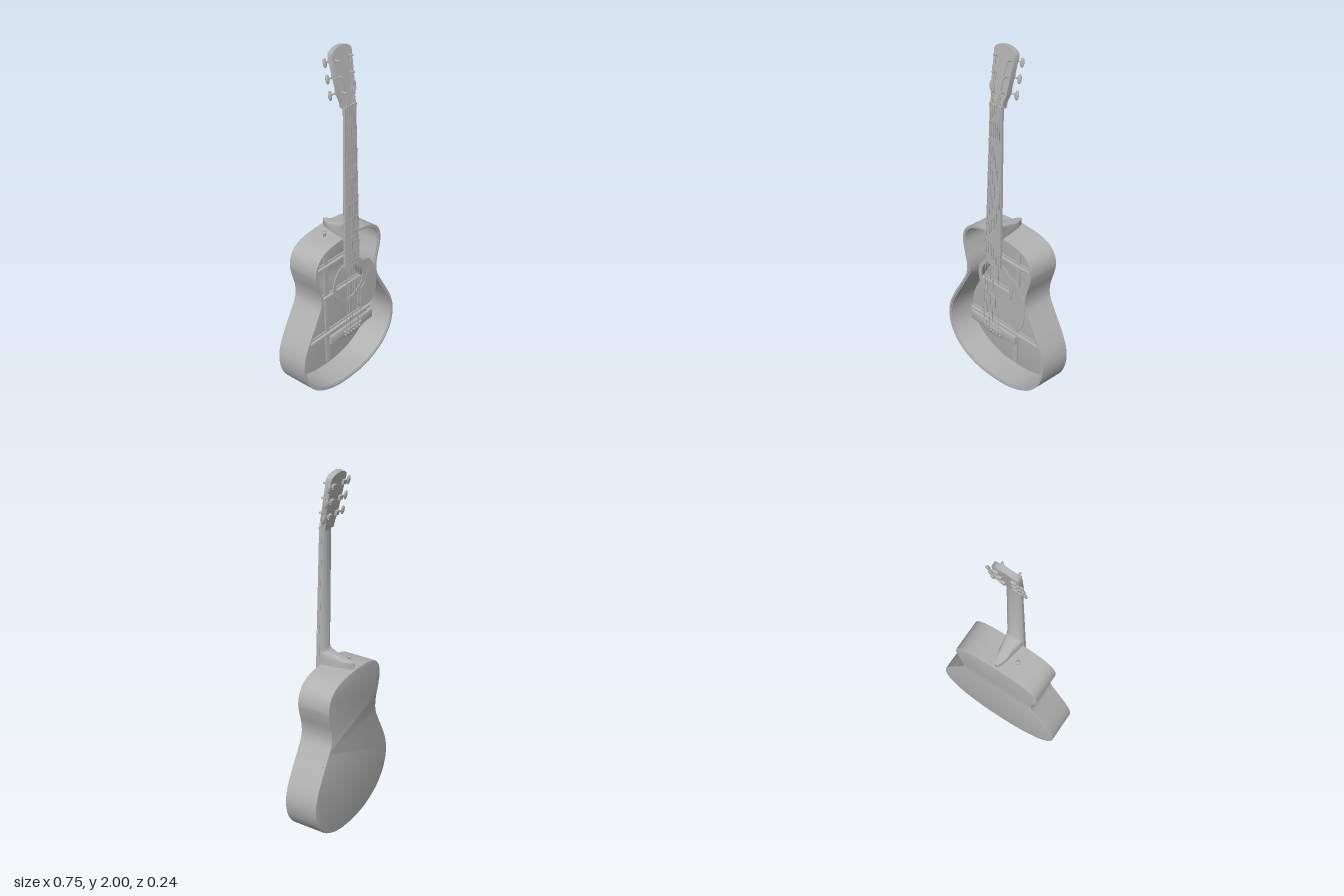
import * as THREE from 'three';
import { toCreasedNormals } from 'three/addons/utils/BufferGeometryUtils.js';

const grey = new THREE.MeshStandardMaterial({ color: 0xb2b2b2 });
grey.name = 'plain grey';
const V2 = (x, y) => new THREE.Vector2(x, y);
const V3 = (x, y, z) => new THREE.Vector3(x, y, z);

function add(parent, name, geo, x = 0, y = 0, z = 0) {
  const m = new THREE.Mesh(geo, grey);
  m.name = name;
  m.position.set(x, y, z);
  parent.add(m);
  return m;
}
const box = (p, name, w, h, d, x, y, z) => add(p, name, new THREE.BoxGeometry(w, h, d), x, y, z);

// straight round bar between two points
function rod(p, name, a, b, r, sides = 10) {
  const m = add(p, name, new THREE.CylinderGeometry(r, r, a.distanceTo(b), sides));
  m.position.copy(a).lerp(b, 0.5);
  m.quaternion.setFromUnitVectors(V3(0, 1, 0), b.clone().sub(a).normalize());
  return m;
}

// flat outline given depth from z0 to z1
function plate(p, name, pts, z0, z1, hole, bevel = 0) {
  const s = new THREE.Shape(pts);
  if (hole) s.holes.push(new THREE.Path(hole));
  const geo = new THREE.ExtrudeGeometry(s, {
    depth: z1 - z0 - 2 * bevel, bevelEnabled: bevel > 0, bevelSize: bevel,
    bevelThickness: bevel, bevelOffset: -bevel, bevelSegments: 2, curveSegments: 48,
  });
  return add(p, name, toCreasedNormals(geo, 0.6), 0, 0, z0 + bevel);
}

// mirrors a right-hand outline (bottom to top) to a closed one
function mirrored(half) {
  const left = half.filter(v => v.x > 0.0001).map(v => V2(-v.x, v.y)).reverse();
  return [...half, ...left];
}

// moves a counter-clockwise outline inward
function inset(pts, d) {
  const n = pts.length;
  return pts.map((v, i) => {
    const t = pts[(i + 1) % n].clone().sub(pts[(i + n - 1) % n]).normalize();
    return V2(v.x - t.y * d, v.y + t.x * d);
  });
}

// neck and heel: D-shaped sections [y, halfWidth, backZ, power] joined up the neck
function loftNeck(sections, frontZ) {
  const n = 16, pos = [], idx = [];
  for (const [y, w, back, pow] of sections) {
    for (let i = 0; i <= n; i++) {
      const t = Math.PI * i / n;
      pos.push(w * Math.cos(t), y, frontZ - (frontZ - back) * Math.pow(Math.max(0, Math.sin(t)), pow));
    }
  }
  const row = n + 1;
  for (let s = 0; s < sections.length - 1; s++) {
    for (let i = 0; i < row; i++) {
      const j = (i + 1) % row, a = s * row;
      idx.push(a + i, a + row + i, a + j, a + j, a + row + i, a + row + j);
    }
  }
  const top = (sections.length - 1) * row;
  for (let i = 1; i < n; i++) {
    idx.push(0, i, i + 1);
    idx.push(top, top + i + 1, top + i);
  }
  const g = new THREE.BufferGeometry();
  g.setAttribute('position', new THREE.Float32BufferAttribute(pos, 3));
  // sides run clockwise seen from above, so turn every face outward
  for (let i = 0; i < idx.length; i += 3) [idx[i + 1], idx[i + 2]] = [idx[i + 2], idx[i + 1]];
  for (let i = idx.length - 6 * (n - 1); i < idx.length; i += 3) [idx[i + 1], idx[i + 2]] = [idx[i + 2], idx[i + 1]];
  g.setIndex(idx);
  return toCreasedNormals(g.toNonIndexed(), 0.7);
}

function buildBody(g) {
  const half = new THREE.SplineCurve([
    V2(0, 0.027), V2(0.1, 0.034), V2(0.19, 0.058), V2(0.28, 0.107), V2(0.345, 0.185), V2(0.37, 0.275),
    V2(0.36, 0.36), V2(0.32, 0.45), V2(0.268, 0.54), V2(0.228, 0.62), V2(0.226, 0.69), V2(0.248, 0.77),
    V2(0.258, 0.83), V2(0.243, 0.89), V2(0.2, 0.932), V2(0.125, 0.955), V2(0, 0.965),
  ]).getPoints(90);
  half[0].x = half[half.length - 1].x = 0;
  const outline = mirrored(half);
  plate(g, 'bodySides', outline, -0.085, 0.095, inset(outline, 0.012));
  plate(g, 'bodyBack', outline, -0.09, -0.078, null, 0.004);
  plate(g, 'rimLining', inset(outline, 0.011), 0.078, 0.09, inset(outline, 0.017));

  // braces lying on the inside of the back
  for (const [y, w] of [[0.83, 0.49], [0.7, 0.44], [0.5, 0.57], [0.255, 0.71]]) {
    box(g, 'backBraceFoot', w, 0.034, 0.008, 0, y, -0.075);
    box(g, 'backBraceRidge', w, 0.014, 0.02, 0, y, -0.065);
  }
  box(g, 'centreStrip', 0.03, 0.88, 0.01, 0, 0.495, -0.074);

  // ring around the sound hole
  const circle = r => new THREE.EllipseCurve(0, 0.68, r, r).getPoints(64).slice(0, 64);
  plate(g, 'soundHoleRing', circle(0.13), 0.092, 0.097, circle(0.106));

  // teardrop plate beside the sound hole
  const guard = new THREE.SplineCurve([
    V2(0.105, 0.755), V2(0.135, 0.7), V2(0.138, 0.655), V2(0.115, 0.6), V2(0.068, 0.565), V2(0.063, 0.51),
    V2(0.09, 0.465), V2(0.145, 0.45), V2(0.2, 0.475), V2(0.22, 0.55), V2(0.208, 0.65), V2(0.165, 0.735), V2(0.105, 0.755),
  ]).getPoints(60).slice(0, 60);
  plate(g, 'pickguard', guard, 0.093, 0.097);

  // bridge with saddle
  const bridge = mirrored([V2(0, 0.336), V2(0.05, 0.338), V2(0.1, 0.354), V2(0.17, 0.358), V2(0.17, 0.41), V2(0, 0.41)]);
  plate(g, 'bridge', bridge, 0.095, 0.11, null, 0.002);
  box(g, 'saddle', 0.14, 0.008, 0.012, 0, 0.385, 0.114);

  // strap buttons
  const knob = new THREE.LatheGeometry([[0, 0], [0.008, 0], [0.006, 0.012], [0.012, 0.018], [0.012, 0.025], [0, 0.028]]
    .map(p => V2(...p)), 16);
  add(g, 'strapButtonTop', knob, -0.083, 0.957, 0);
  add(g, 'strapButtonBottom', knob, 0, 0.028, 0.005).rotation.x = Math.PI;
}

function buildNeck(g) {
  add(g, 'neckAndHeel', loftNeck([
    [0.95, 0.05, -0.082, 2], [0.998, 0.05, -0.082, 2], [1.03, 0.05, 0.075, 1.2],
    [1.045, 0.05, 0.086, 1], [1.65, 0.041, 0.088, 1], [1.715, 0.041, 0.088, 1],
  ], 0.106));
  plate(g, 'fretboard', [V2(-0.055, 0.79), V2(0.055, 0.79), V2(0.041, 1.7), V2(-0.041, 1.7)], 0.103, 0.117);
  for (let i = 1; i <= 20; i++) {
    const y = 1.7 - 1.33 * (1 - Math.pow(2, -i / 12));
    const w = 0.041 + (1.7 - y) * 0.0154;
    box(g, 'fret', w * 2, 0.004, 0.004, 0, y, 0.117);
  }
  box(g, 'nut', 0.084, 0.01, 0.018, 0, 1.703, 0.113);
}

function buildHead(g) {
  const head = new THREE.Group();
  head.name = 'headstock';
  head.position.set(0, 1.7, 0.115);
  head.rotation.x = -0.18;
  g.add(head);
  const outline = mirrored([V2(0, 0), V2(0.041, 0), V2(0.043, 0.035), V2(0.054, 0.065), V2(0.071, 0.27),
    V2(0.064, 0.285), V2(0.045, 0.297), V2(0.02, 0.303), V2(0, 0.304)]);
  plate(head, 'headPlate', outline, -0.03, 0);

  // three tuners on each side
  for (const s of [-1, 1]) for (let i = 0; i < 3; i++) {
    const y = 0.08 + i * 0.081, x = s * (0.035 + i * 0.006);
    rod(head, 'tuningPost', V3(x, y, -0.03), V3(x, y, 0.022), 0.005);
    rod(head, 'postCollar', V3(x, y, -0.001), V3(x, y, 0.004), 0.01, 16);
    box(head, 'gearBox', 0.026, 0.024, 0.014, x, y, -0.036);
    rod(head, 'tunerShaft', V3(x, y, -0.037), V3(s * 0.085, y, -0.037), 0.004);
    add(head, 'tunerButton', new THREE.SphereGeometry(1, 14, 10), s * 0.088, y, -0.037).scale.set(0.012, 0.025, 0.008);
  }
  head.updateMatrix();
  return head.matrix;
}

function buildStrings(g, headMatrix) {
  for (let i = 0; i < 6; i++) {
    const k = (i - 2.5) / 2.5, s = Math.sign(k);
    const slot = i < 3 ? i : 5 - i; // outer strings go to the lowest posts
    const post = V3(s * (0.03 + slot * 0.006), 0.08 + slot * 0.081, 0.013).applyMatrix4(headMatrix);
    const pts = [V3(k * 0.058, 0.363, 0.112), V3(k * 0.057, 0.385, 0.123), V3(k * 0.033, 1.703, 0.123), post];
    const r = 0.0024 - i * 0.0002;
    for (let j = 0; j < 3; j++) rod(g, 'string', pts[j], pts[j + 1], r, 6);
    rod(g, 'bridgePin', V3(k * 0.058, 0.362, 0.1), V3(k * 0.058, 0.362, 0.119), 0.006);
  }
}

export function createModel() {
  const model = new THREE.Group();
  model.name = 'acousticGuitar';
  const g = new THREE.Group();
  g.name = 'guitar';
  // the instrument leans back a little and is turned slightly
  g.rotation.set(-0.026, 0.027, -0.004);
  model.add(g);
  buildBody(g);
  buildNeck(g);
  buildStrings(g, buildHead(g));
  return model;
}
